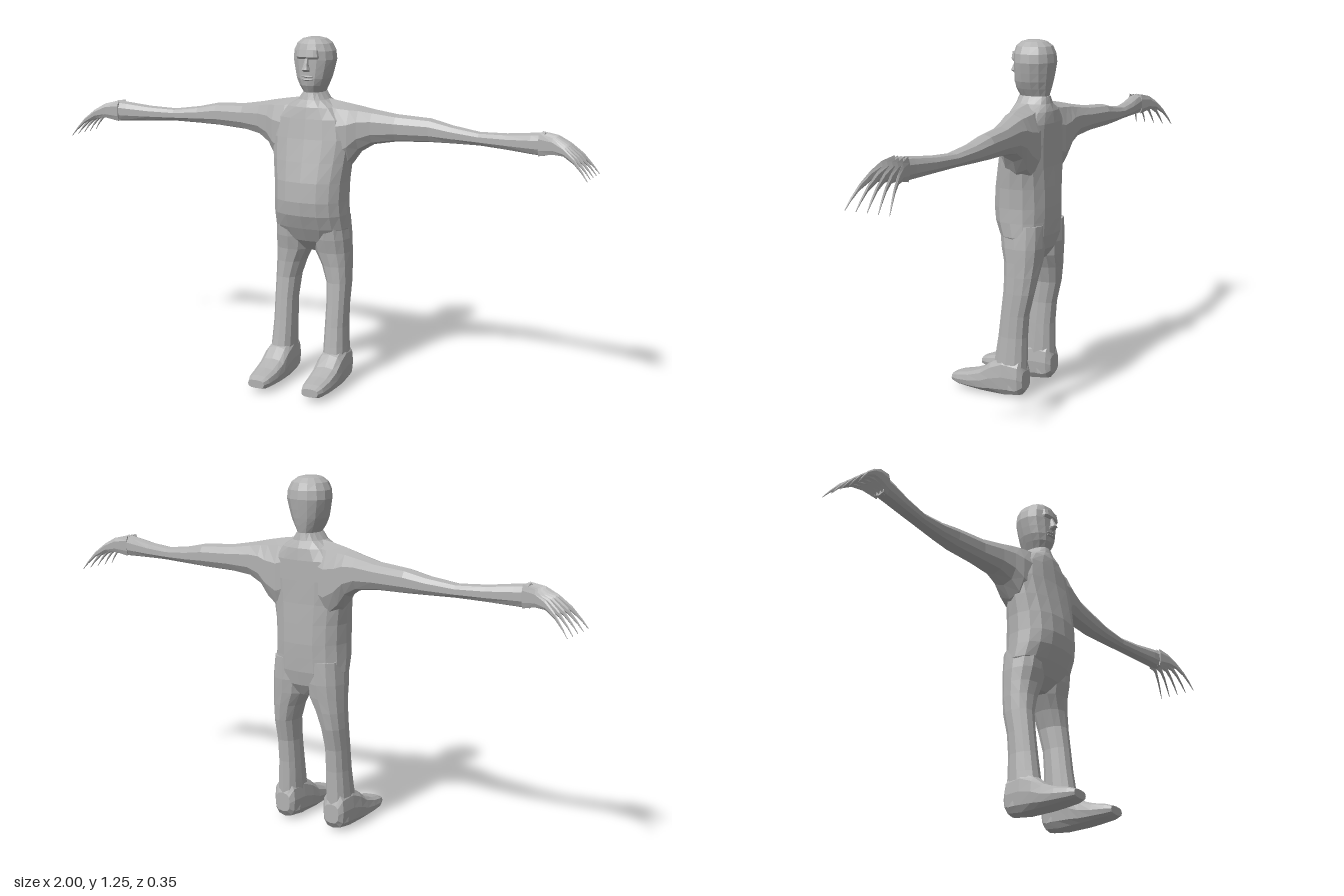
import * as THREE from 'three';

const skin = new THREE.MeshStandardMaterial({ color: 0xb2b2b2, flatShading: true });
skin.name = 'grey skin';

// Skins rounded cross-sections stacked along an axis.
// Row: [position, aMin, aMax, bMin, bMax]; (a, b) = (y,z) for x, (z,x) for y, (x,y) for z.
// power < 1 makes the sections boxier; mirror reflects the part across x = 0.
function loft(name, axis, rows, { sides = 12, power = 0.85, mirror = false } = {}) {
  const pos = [], index = [];
  const t = { x: 0, y: 1, z: 2 }[axis], a = (t + 1) % 3, b = (t + 2) % 3;
  const add = (tv, av, bv) => {
    const p = [0, 0, 0];
    p[t] = tv; p[a] = av; p[b] = bv;
    if (mirror) p[0] = -p[0];
    pos.push(...p);
  };
  const tri = (i, j, k) => (mirror ? index.push(i, k, j) : index.push(i, j, k));
  const curve = (v) => Math.sign(v) * Math.abs(v) ** power;
  rows.forEach(([tv, a0, a1, b0, b1]) => {
    for (let j = 0; j < sides; j++) {
      const ang = (j / sides) * Math.PI * 2;
      add(tv, (a0 + a1) / 2 + curve(Math.cos(ang)) * (a1 - a0) / 2,
        (b0 + b1) / 2 + curve(Math.sin(ang)) * (b1 - b0) / 2);
    }
  });
  const last = (rows.length - 1) * sides, c = rows.length * sides;
  for (const r of [rows[0], rows[rows.length - 1]]) add(r[0], (r[1] + r[2]) / 2, (r[3] + r[4]) / 2);
  for (let j = 0; j < sides; j++) {
    const k = (j + 1) % sides;
    for (let i = 0; i < last; i += sides) {
      tri(i + j, i + k, i + sides + k);
      tri(i + j, i + sides + k, i + sides + j);
    }
    tri(c, k, j);
    tri(c + 1, last + j, last + k);
  }
  let geo = new THREE.BufferGeometry();
  geo.setAttribute('position', new THREE.Float32BufferAttribute(pos, 3));
  geo.setIndex(index);
  geo = geo.toNonIndexed();
  geo.computeVertexNormals();
  const mesh = new THREE.Mesh(geo, skin);
  mesh.name = name;
  return mesh;
}

export function createModel() {
  const model = new THREE.Group();
  model.name = 'figure';

  // Torso with a rounded belly, running up into the neck
  model.add(loft('torso', 'y', [
    [0.49, -0.13, -0.05, -0.035, 0.035],
    [0.53, -0.155, -0.015, -0.11, 0.11],
    [0.58, -0.165, 0.012, -0.138, 0.138],
    [0.63, -0.168, 0.034, -0.136, 0.136],
    [0.68, -0.17, 0.041, -0.134, 0.134],
    [0.75, -0.168, 0.035, -0.137, 0.137],
    [0.82, -0.165, 0.02, -0.146, 0.146],
    [0.9, -0.165, 0.003, -0.155, 0.155],
    [0.97, -0.165, -0.008, -0.14, 0.14],
    [1.01, -0.16, -0.015, -0.1, 0.1],
    [1.035, -0.15, -0.025, -0.055, 0.055],
    [1.06, -0.145, -0.032, -0.036, 0.036],
  ], { sides: 16 }));

  // Head, narrowing through the jaw into the neck
  model.add(loft('head', 'y', [
    [1.03, -0.145, -0.035, -0.036, 0.036],
    [1.06, -0.142, -0.035, -0.036, 0.036],
    [1.085, -0.148, -0.022, -0.05, 0.05],
    [1.11, -0.153, -0.018, -0.062, 0.062],
    [1.14, -0.158, -0.018, -0.07, 0.07],
    [1.175, -0.163, -0.018, -0.078, 0.078],
    [1.205, -0.16, -0.018, -0.075, 0.075],
    [1.23, -0.15, -0.025, -0.062, 0.062],
    [1.245, -0.13, -0.042, -0.042, 0.042],
    [1.25, -0.11, -0.06, -0.022, 0.022],
  ], { sides: 14, power: 0.95 }));

  // Face
  model.add(loft('brow', 'y', [
    [1.178, -0.06, -0.017, -0.042, 0.042],
    [1.186, -0.06, -0.01, -0.043, 0.043],
    [1.21, -0.06, -0.014, -0.04, 0.04],
  ], { power: 0.6 }));
  model.add(loft('nose', 'y', [
    [1.135, -0.03, -0.008, -0.011, 0.011],
    [1.143, -0.03, 0.006, -0.013, 0.013],
    [1.155, -0.03, 0.0, -0.009, 0.009],
    [1.182, -0.03, -0.013, -0.006, 0.006],
  ], { sides: 8 }));
  for (const y of [1.107, 1.118]) {
    model.add(loft('lip', 'x', [
      [-0.022, y - 0.002, y + 0.002, -0.04, -0.019],
      [0, y - 0.005, y + 0.005, -0.04, -0.009],
      [0.022, y - 0.002, y + 0.002, -0.04, -0.019],
    ], { sides: 8 }));
  }

  for (const mirror of [false, true]) {
    const side = mirror ? 'right' : 'left';

    // Arm, from inside the chest out to the wrist and palm
    model.add(loft(side + 'Arm', 'x', [
      [0.03, 0.8, 1.04, -0.15, -0.03],
      [0.1, 0.77, 1.03, -0.162, -0.02],
      [0.145, 0.81, 1.022, -0.162, -0.03],
      [0.175, 0.855, 1.016, -0.16, -0.045],
      [0.22, 0.883, 1.006, -0.16, -0.062],
      [0.3, 0.896, 0.992, -0.167, -0.085],
      [0.42, 0.901, 0.984, -0.176, -0.102],
      [0.5, 0.903, 0.966, -0.168, -0.104],
      [0.6, 0.905, 0.952, -0.156, -0.1],
      [0.7, 0.901, 0.957, -0.142, -0.085],
      [0.79, 0.896, 0.968, -0.128, -0.069],
      [0.835, 0.894, 0.973, -0.122, -0.064],
    ], { sides: 10 }));

    // Five long fingers that fan out and droop to a point
    for (let f = 0; f < 5; f++) {
      const base = -0.117 + f * 0.012, tip = -0.174 + f * 0.039;
      const rows = [
        [0.82, 0.896, 0.973, 0.007],
        [0.87, 0.908, 0.962, 0.006],
        [0.91, 0.907, 0.938, 0.005],
        [0.95, 0.885, 0.904, 0.004],
        [0.98, 0.857, 0.867, 0.003],
        [1, 0.834, 0.838, 0.001],
      ].map(([x, y0, y1, r]) => {
        const z = THREE.MathUtils.lerp(base, tip, ((x - 0.82) / 0.18) ** 1.1);
        return [x, y0, y1, z - r, z + r];
      });
      model.add(loft(side + 'Finger' + (f + 1), 'x', rows, { sides: 6, power: 1, mirror }));
    }

    // Leg, from the hip down to the ankle
    model.add(loft(side + 'Leg', 'y', [
      [0.03, -0.112, -0.03, 0.062, 0.15],
      [0.1, -0.115, 0.012, 0.062, 0.149],
      [0.15, -0.115, 0.003, 0.062, 0.146],
      [0.22, -0.115, -0.008, 0.063, 0.142],
      [0.3, -0.121, -0.018, 0.064, 0.142],
      [0.38, -0.14, -0.027, 0.058, 0.143],
      [0.44, -0.149, -0.027, 0.038, 0.142],
      [0.49, -0.155, -0.022, 0.012, 0.141],
      [0.54, -0.16, -0.01, 0.004, 0.14],
      [0.62, -0.16, 0.0, 0.01, 0.132],
    ], { mirror }));

    // Foot, from heel to toe
    model.add(loft(side + 'Foot', 'z', [
      [-0.115, 0.075, 0.137, 0.03, 0.1],
      [-0.1, 0.062, 0.15, 0.008, 0.14],
      [-0.04, 0.058, 0.154, 0, 0.15],
      [0.01, 0.056, 0.156, 0.002, 0.125],
      [0.05, 0.056, 0.156, 0.004, 0.092],
      [0.1, 0.058, 0.154, 0.008, 0.072],
      [0.15, 0.064, 0.148, 0.012, 0.06],
      [0.175, 0.074, 0.138, 0.02, 0.05],
    ], { power: 0.7, mirror }));
  }

  // Mirror the arm that was built on the left only
  const arms = model.children.filter((m) => m.name === 'rightArm');
  for (const arm of arms) {
    const p = arm.geometry.attributes.position;
    for (let i = 0; i < p.count; i += 3) {
      const [x1, y1, z1] = [p.getX(i + 1), p.getY(i + 1), p.getZ(i + 1)];
      p.setXYZ(i, -p.getX(i), p.getY(i), p.getZ(i));
      p.setXYZ(i + 1, -p.getX(i + 2), p.getY(i + 2), p.getZ(i + 2));
      p.setXYZ(i + 2, -x1, y1, z1);
    }
    arm.geometry.computeVertexNormals();
  }
  return model;
}
